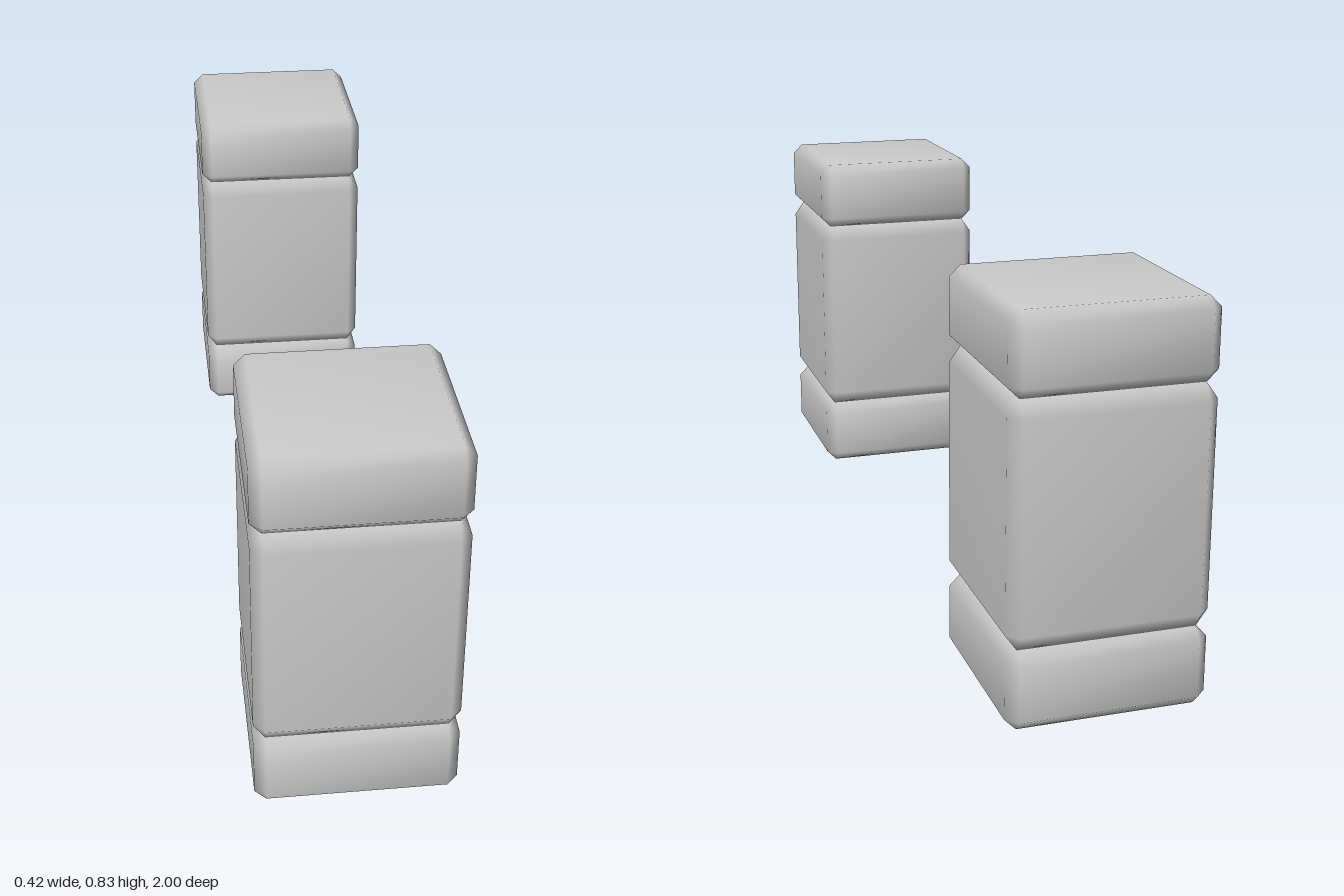
import * as THREE from 'three';
import { mergeVertices } from 'three/addons/utils/BufferGeometryUtils.js';

const HALF = 0.2085; // half width of every block
const BEVEL = 0.024; // horizontal inset of the chamfers

// Chamfered block lofted from four octagonal rings, with smooth shared normals
function chamferedBlock(y0, y1, bevelY) {
  const inner = HALF - BEVEL;
  const rings = [[y0, inner], [y0 + bevelY, HALF], [y1 - bevelY, HALF], [y1, inner]];
  const corners = [[1, 1], [-1, 1], [-1, -1], [1, -1]];
  const positions = [];
  const index = [];

  for (const [y, reach] of rings) {
    corners.forEach(([sx, sz], k) => {
      const pair = [[sx * reach, y, sz * inner], [sx * inner, y, sz * reach]];
      if (k % 2) pair.reverse();
      positions.push(...pair[0], ...pair[1]);
    });
  }

  const addTriangle = (a, b, c) => index.push(a, b, c);
  for (let r = 0; r < 3; r++) {
    for (let j = 0; j < 8; j++) {
      const a = r * 8 + j, b = r * 8 + (j + 1) % 8;
      const c = a + 8, d = b + 8;
      // The end rings collapse to single points at the corners
      const cornerStrip = j % 2 === 0;
      if (!(cornerStrip && r === 0)) addTriangle(a, c, b);
      if (!(cornerStrip && r === 2)) addTriangle(b, c, d);
    }
  }
  // Bottom and top faces
  addTriangle(0, 2, 4);
  addTriangle(0, 4, 6);
  addTriangle(24, 28, 26);
  addTriangle(24, 30, 28);

  const raw = new THREE.BufferGeometry();
  raw.setAttribute('position', new THREE.Float32BufferAttribute(positions, 3));
  raw.setIndex(index);
  const geometry = mergeVertices(raw);
  geometry.computeVertexNormals();
  return geometry;
}

export function createModel() {
  const model = new THREE.Group();
  model.name = 'pillarPair';
  const material = new THREE.MeshStandardMaterial({ color: 0xcccccc });

  // Base, shaft and cap stacked into one pillar
  const blocks = [
    ['base', chamferedBlock(0, 0.167, 0.024)],
    ['shaft', chamferedBlock(0.167, 0.667, 0.034)],
    ['cap', chamferedBlock(0.667, 0.834, 0.024)],
  ];

  // One pillar at each end
  for (const side of [1, -1]) {
    const pillar = new THREE.Group();
    pillar.name = side > 0 ? 'frontPillar' : 'backPillar';
    for (const [name, geometry] of blocks) {
      const mesh = new THREE.Mesh(geometry, material);
      mesh.name = name;
      pillar.add(mesh);
    }
    pillar.position.z = side * (1 - HALF);
    model.add(pillar);
  }
  return model;
}
